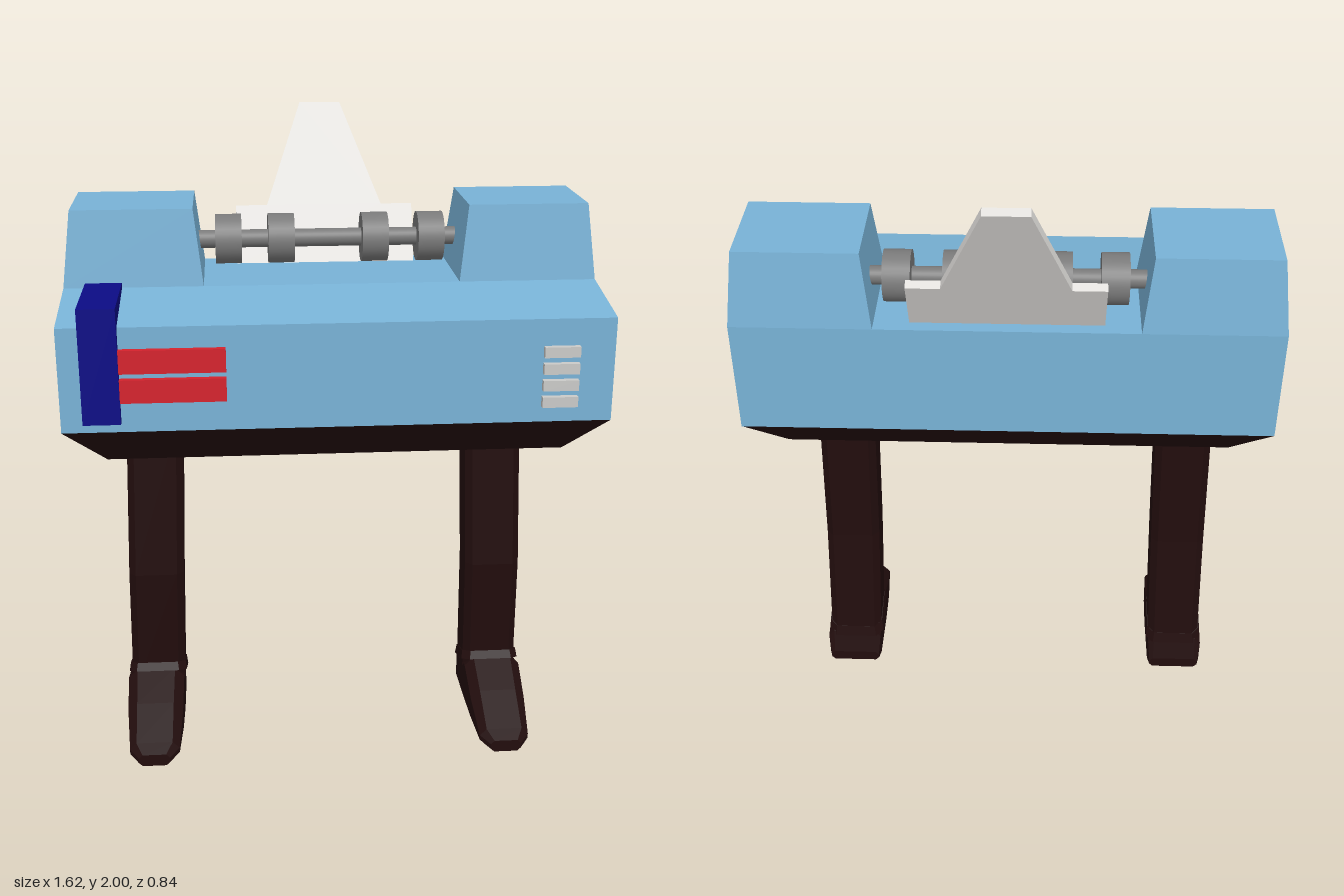
import * as THREE from 'three';

const mat = (name, color) => Object.assign(new THREE.MeshStandardMaterial({ color }), { name });

export function createModel() {
  const model = new THREE.Group();
  const blue = mat('shellBlue', 0x78b2d6);
  const brown = mat('darkBrown', 0x220d0d);
  const navy = mat('navy', 0x0b0b85);
  const red = mat('red', 0xd5222d);
  const steel = mat('steelGrey', 0x7a7a7a);
  const pale = mat('paleGrey', 0xe0dedb);
  const silver = mat('ventGrey', 0xcacac8);

  const add = (name, geo, material, parent = model) => {
    const mesh = new THREE.Mesh(geo, material);
    mesh.name = name;
    parent.add(mesh);
    return mesh;
  };

  // Box given by its limits on each axis
  const block = (x0, x1, y0, y1, z0, z1) =>
    new THREE.BoxGeometry(x1 - x0, y1 - y0, z1 - z0)
      .translate((x0 + x1) / 2, (y0 + y1) / 2, (z0 + z1) / 2);

  // Side profile of [z, y] points, extruded from x0 to x1
  const sideExtrude = (points, x0, x1) => {
    const shape = new THREE.Shape(points.map(p => new THREE.Vector2(...p)));
    return new THREE.ExtrudeGeometry(shape, { depth: x1 - x0, bevelEnabled: false })
      .rotateY(-Math.PI / 2).translate(x1, 0, 0);
  };

  // Flat-shaded skin over rings that run counter-clockwise seen from the end
  const loft = rings => {
    const pos = [];
    const n = rings[0].length;
    const tri = (a, b, c) => pos.push(...a, ...b, ...c);
    for (let i = 0; i + 1 < rings.length; i++) {
      const a = rings[i], b = rings[i + 1];
      for (let j = 0; j < n; j++) {
        const k = (j + 1) % n;
        tri(a[j], a[k], b[k]);
        tri(a[j], b[k], b[j]);
      }
    }
    const first = rings[0], last = rings[rings.length - 1];
    for (let j = 1; j + 1 < n; j++) {
      tri(first[0], first[j + 1], first[j]);
      tri(last[0], last[j], last[j + 1]);
    }
    const geo = new THREE.BufferGeometry();
    geo.setAttribute('position', new THREE.Float32BufferAttribute(pos, 3));
    geo.computeVertexNormals();
    return geo;
  };

  // Rectangle, optionally with cut corners
  const rect = (a, b, c) => c
    ? [[a, c - b], [a, b - c], [a - c, b], [c - a, b], [-a, b - c], [-a, c - b], [c - a, -b], [a - c, -b]]
    : [[a, -b], [a, b], [-a, b], [-a, -b]];

  // Horizontal ring; tilt raises its front
  const flatRing = (x, y, z, a, b, c = 0, tilt = 0) =>
    rect(a, b, c).map(([u, v]) => [x + u, y - v * tilt, z - v]);
  const uprightRing = (x, y, z, a, b, c) =>
    rect(a, b, c).map(([u, v]) => [x + u, y + v, z]);

  // Body shell with sloping front deck
  add('body', sideExtrude(
    [[-0.24, 1.16], [0.405, 1.16], [0.405, 1.475], [0.125, 1.52], [-0.24, 1.52]], -0.81, 0.81), blue);

  // Tapered underside
  add('underside', loft([
    flatRing(0, 1.04, 0.083, 0.69, 0.228),
    flatRing(0, 1.16, 0.083, 0.81, 0.322),
  ]), brown);

  // Raised towers at both ends
  for (const s of [-1, 1]) {
    add(s > 0 ? 'leftTower' : 'rightTower', loft([
      flatRing(s * 0.6, 1.52, -0.058, 0.21, 0.182),
      flatRing(s * 0.6, 1.75, -0.055, 0.183, 0.15),
    ]), blue);
  }

  // Axle with four rollers between the towers
  const rod = (r, x0, x1) => new THREE.CylinderGeometry(r, r, x1 - x0, 32)
    .rotateZ(Math.PI / 2).translate((x0 + x1) / 2, 1.617, -0.095);
  add('axle', rod(0.028, -0.405, 0.405), steel);
  for (const x of [-0.312, -0.147, 0.147, 0.322]) add('roller', rod(0.077, x - 0.041, x + 0.041), steel);

  // Fin leaning back behind the axle
  const finShape = new THREE.Shape([
    [-0.285, 0], [0.285, 0], [0.285, 0.19], [0.185, 0.19], [0.06, 0.53],
    [-0.07, 0.53], [-0.185, 0.19], [-0.285, 0.19],
  ].map(p => new THREE.Vector2(...p)));
  const fin = add('fin', new THREE.ExtrudeGeometry(finShape, { depth: 0.028, bevelEnabled: false }), pale);
  fin.rotation.x = -0.435;
  fin.position.set(0, 1.508, -0.193);

  // Strap wrapped over the front edge
  add('strap', sideExtrude([
    [0.405, 1.19], [0.427, 1.19], [0.427, 1.535], [0.125, 1.535], [0.125, 1.515], [0.405, 1.47],
  ], -0.745, -0.635), navy);

  // Red bars and vent slats on the front
  for (const y of [1.288, 1.376]) {
    add('frontBar', block(-0.635, -0.328, y - 0.035, y + 0.035, 0.4, 0.424), red);
  }
  for (let i = 0; i < 4; i++) {
    const y = 1.225 + i * 0.051;
    add('ventSlat', block(0.597, 0.703, y - 0.016, y + 0.016, 0.4, 0.424), silver);
  }

  // Legs, mirrored about a line slightly off centre
  for (const s of [-1, 1]) {
    const leg = new THREE.Group();
    leg.name = s > 0 ? 'leftLeg' : 'rightLeg';
    model.add(leg);
    const x = d => -0.02 + s * d;
    add('shank', loft([
      flatRing(x(0.565), 0.14, -0.01, 0.088, 0.076, 0.022),
      flatRing(x(0.555), 0.55, 0.031, 0.089, 0.075, 0.022),
      flatRing(x(0.54), 1.05, 0.015, 0.089, 0.075, 0.022),
    ]), brown, leg);
    add('cuff', loft([
      flatRing(x(0.566), 0.15, -0.003, 0.096, 0.091, 0.025, 0.38),
      flatRing(x(0.566), 0.182, -0.005, 0.092, 0.08, 0.025, 0.35),
    ]), brown, leg);
    // Foot sections from heel to toe: z, bottom, top, half width, corner cut
    add('foot', loft([
      [-0.11, 0.012, 0.05, 0.085, 0.012],
      [-0.088, 0.01, 0.13, 0.092, 0.02],
      [0.08, 0.006, 0.188, 0.093, 0.03],
      [0.2, 0.003, 0.128, 0.09, 0.03],
      [0.33, 0, 0.06, 0.08, 0.022],
      [0.37, 0, 0.04, 0.05, 0.012],
    ].map(([z, y0, y1, w, c]) => uprightRing(x(0.572), (y0 + y1) / 2, z, w, (y1 - y0) / 2, c))), brown, leg);
  }

  return model;
}
